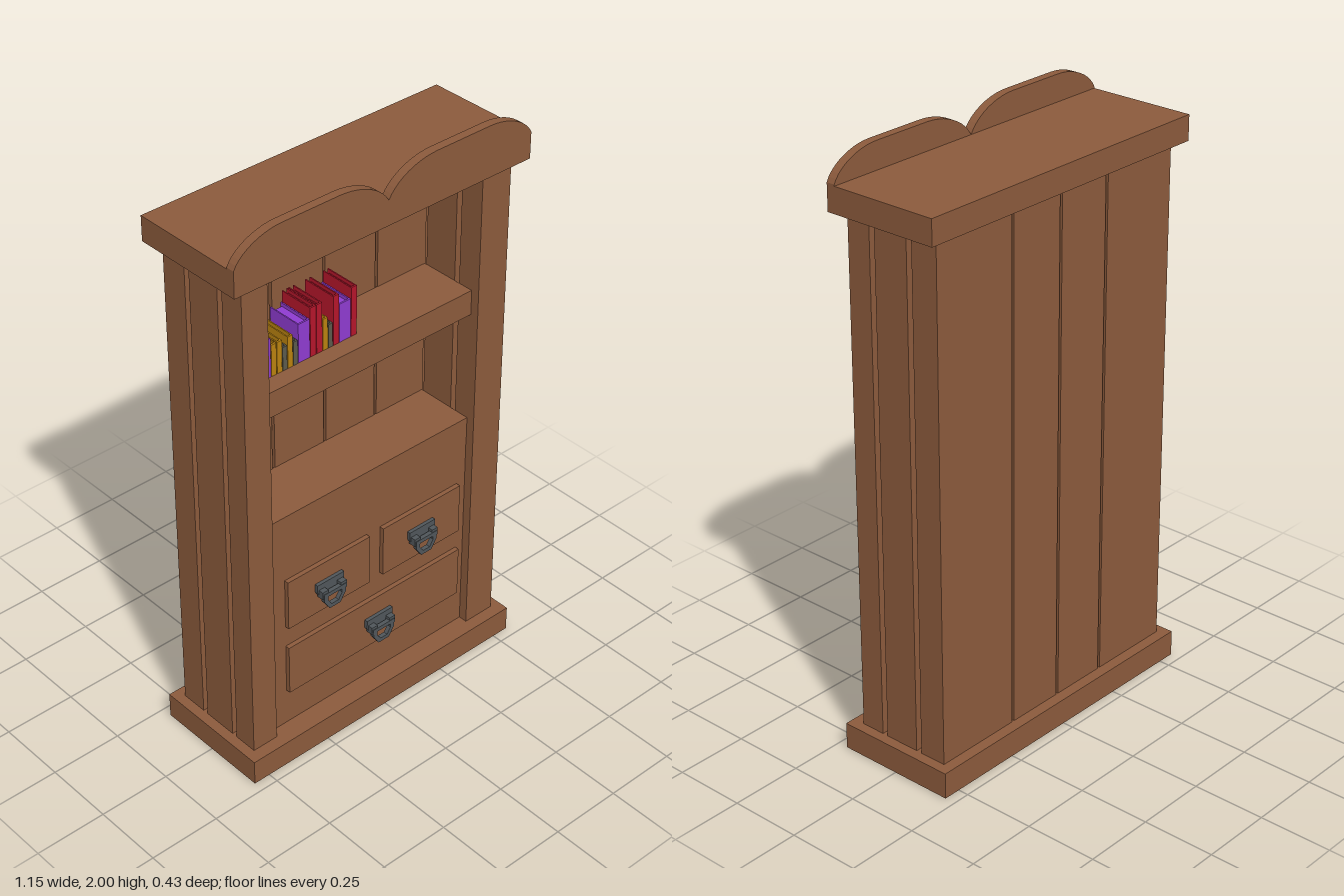
import * as THREE from 'three';

const mat = (name, color) => {
  const m = new THREE.MeshStandardMaterial({ color });
  m.name = name;
  return m;
};

export function createModel() {
  const wood = mat('wood', 0x8b5a3c);
  const iron = mat('iron', 0x50565a);
  const red = mat('red cloth', 0xb5162b);
  const purple = mat('purple cloth', 0x8f3bd0);
  const ochre = mat('ochre cloth', 0xb9820f);
  const grey = mat('grey cloth', 0x5c5a4c);

  const model = new THREE.Group();
  model.name = 'bookcase';

  // Box given by its minimum and maximum along each axis
  const box = (name, m, [x0, x1], [y0, y1], [z0, z1], parent = model) => {
    const mesh = new THREE.Mesh(new THREE.BoxGeometry(x1 - x0, y1 - y0, z1 - z0), m);
    mesh.position.set((x0 + x1) / 2, (y0 + y1) / 2, (z0 + z1) / 2);
    mesh.name = name;
    parent.add(mesh);
    return mesh;
  };
  const extrude = (name, m, shape, depth, parent, z) => {
    const geo = new THREE.ExtrudeGeometry(shape, { depth, bevelEnabled: false, curveSegments: 10 });
    const mesh = new THREE.Mesh(geo, m);
    mesh.name = name;
    mesh.position.z = z;
    parent.add(mesh);
  };
  const polygon = pts => pts.map(([x, y]) => new THREE.Vector2(x, y));

  // Plinth and cornice
  box('plinth', wood, [-0.56, 0.56], [0, 0.09], [-0.213, 0.213]);
  box('cornice', wood, [-0.573, 0.573], [1.825, 1.91], [-0.205, 0.17]);

  // Double-arched crest along the front of the cornice
  const crest = new THREE.Shape();
  crest.moveTo(-0.573, 1.825);
  crest.lineTo(0.573, 1.825);
  crest.lineTo(0.573, 1.915);
  crest.bezierCurveTo(0.55, 1.965, 0.47, 2, 0.40, 2);
  crest.lineTo(0.19, 2);
  crest.bezierCurveTo(0.11, 2, 0.03, 1.965, 0, 1.91);
  crest.bezierCurveTo(-0.03, 1.965, -0.11, 2, -0.19, 2);
  crest.lineTo(-0.40, 2);
  crest.bezierCurveTo(-0.47, 2, -0.55, 1.965, -0.573, 1.915);
  crest.closePath();
  extrude('crest', wood, crest, 0.03, model, 0.17);

  // Side walls: three planks each, with a recessed core behind the grooves
  const H = [0.09, 1.825];
  for (const [name, x0, x1] of [['rightSide', -0.525, -0.43], ['leftSide', 0.408, 0.525]]) {
    const side = new THREE.Group();
    side.name = name;
    model.add(side);
    for (const z of [[0.085, 0.17], [-0.06, 0.065], [-0.175, -0.08]]) {
      box('sidePlank', wood, [x0, x1], H, z, side);
    }
    box('sideCore', wood, [x0 + 0.03, x1 - 0.03], H, [-0.16, 0.15], side);
  }

  // Back wall: four planks over a recessed core
  const seams = [-0.435, -0.22, -0.01, 0.203, 0.415];
  for (let i = 0; i < 4; i++) {
    box('backPlank', wood, [seams[i] + 0.005, seams[i + 1] - 0.005], H, [-0.175, -0.068]);
  }
  box('backCore', wood, [-0.45, 0.43], H, [-0.15, -0.09]);

  // Shelves and drawer front
  const inner = [-0.43, 0.408];
  box('upperShelf', wood, inner, [1.312, 1.4], [-0.07, 0.14]);
  box('lowerShelf', wood, inner, [0.835, 0.92], [-0.07, 0.14]);
  box('drawerFrame', wood, inner, [0.09, 0.835], [-0.07, 0.139]);

  // Drawers, each with a plate and a hanging bail handle
  const drawers = [
    [[-0.36, -0.02], [0.49, 0.675], -0.195],
    [[0.037, 0.372], [0.49, 0.675], 0.197],
    [[-0.36, 0.376], [0.225, 0.41], 0.015],
  ];
  for (const [x, y, hx] of drawers) {
    box('drawer', wood, x, y, [0.13, 0.155]);
    const handle = new THREE.Group();
    handle.name = 'handle';
    handle.position.set(hx, y[0] + 0.073, 0.155);
    model.add(handle);
    const plate = new THREE.Shape(polygon([
      [-0.055, 0.046], [-0.055, 0.015], [-0.045, -0.002], [0.045, -0.002], [0.055, 0.015], [0.055, 0.046],
    ].reverse()));
    extrude('handlePlate', iron, plate, 0.012, handle, 0);
    const bail = new THREE.Shape(polygon([
      [-0.046, 0.016], [-0.044, -0.015], [-0.022, -0.048], [0.022, -0.048], [0.044, -0.015], [0.046, 0.016],
    ]));
    bail.holes.push(new THREE.Path(polygon([
      [-0.028, 0.002], [-0.029, -0.012], [-0.014, -0.034], [0.014, -0.034], [0.029, -0.012], [0.028, 0.002],
    ].reverse())));
    extrude('handleBail', iron, bail, 0.015, handle, 0.017);
    for (const s of [-1, 1]) {
      box('handleKnuckle', iron, [s * 0.038 - 0.012, s * 0.038 + 0.012], [-0.002, 0.026], [0.004, 0.03], handle);
    }
  }

  // Row of books: covers and spine around a lower page block
  const kinds = {
    r: ['redBook', red, 0.172, 0.024],
    p: ['purpleBook', purple, 0.135, 0.046],
    o: ['ochreBook', ochre, 0.11, 0.021],
    g: ['greyBook', grey, 0.082, 0.019],
  };
  let bx = -0.416;
  for (const k of 'rpoogogprrogrpr') {
    const [name, m, h, w] = kinds[k];
    const book = new THREE.Group();
    book.name = name;
    book.position.set(bx, 1.4, 0);
    model.add(book);
    const t = 0.004, x1 = w - 0.002;
    const depth = [-0.045, 0.08];
    box('cover', m, [0, t], [0, h], depth, book);
    box('cover', m, [x1 - t, x1], [0, h], depth, book);
    box('spine', m, [t, x1 - t], [0, h], [0.074, 0.08], book);
    box('pages', m, [t, x1 - t], [0.003, h - 0.012], [-0.038, 0.074], book);
    bx += w + 0.0005;
  }
  return model;
}
